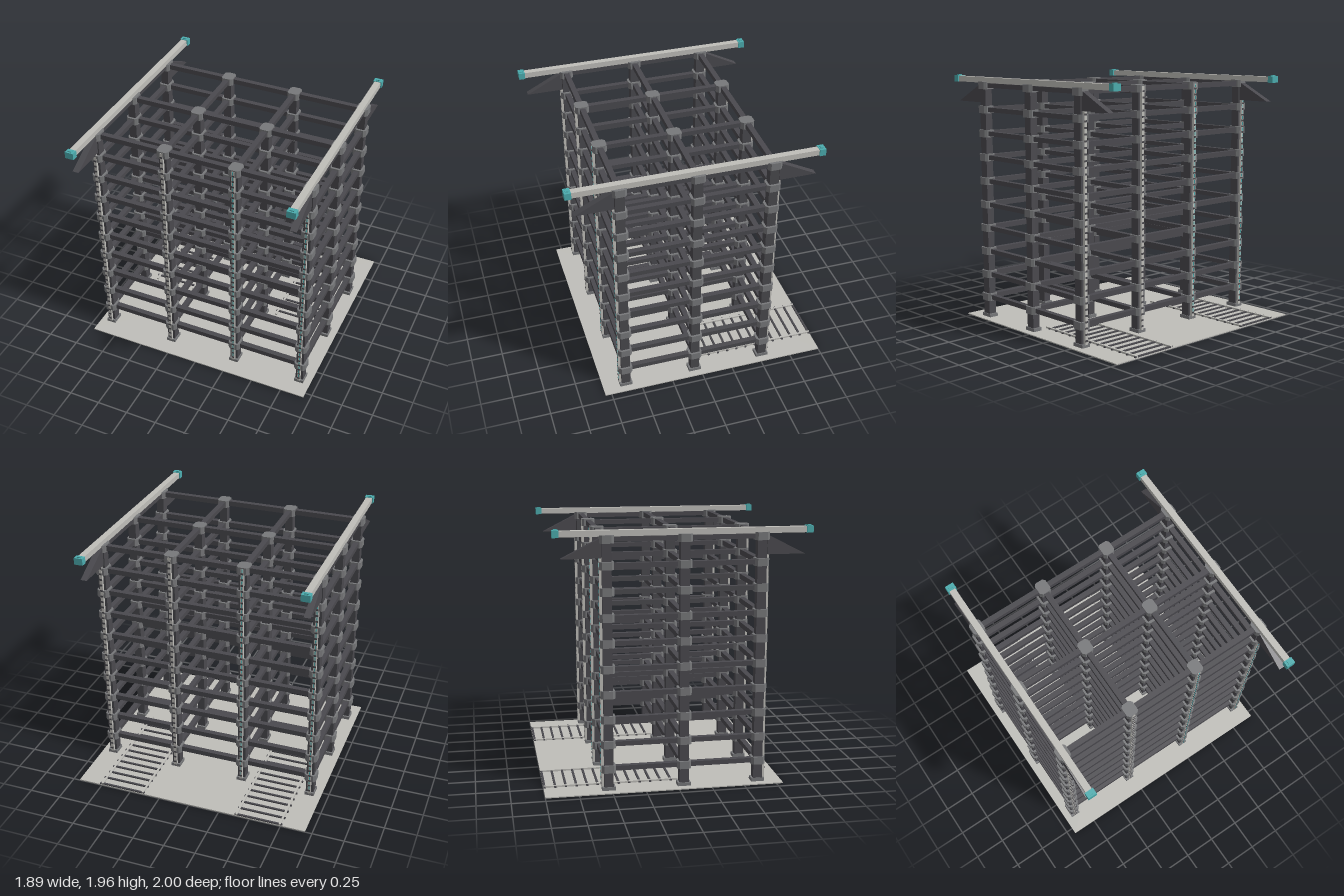
import * as THREE from 'three';

const mat = (name, color) => {
  const m = new THREE.MeshStandardMaterial({ color });
  m.name = name;
  return m;
};

export function createModel() {
  const model = new THREE.Group();
  model.name = 'storageTower';
  const darkSteel = mat('darkSteel', 0x4a494e);
  const jointGrey = mat('jointGrey', 0x77787a);
  const paleGrey = mat('paleGrey', 0xbfbeb9);
  const teal = mat('teal', 0x4bacae);

  const columnX = [-0.853, -0.284, 0.284, 0.853];
  const columnZ = [-0.523, 0.047, 0.617];
  const levels = Array.from({ length: 10 }, (_, i) => 0.174 + i * 0.1896);

  const add = (parent, name, geometry, material, x, y, z) => {
    const mesh = new THREE.Mesh(geometry, material);
    mesh.name = name;
    mesh.position.set(x, y, z);
    parent.add(mesh);
    return mesh;
  };
  const box = (parent, name, material, w, h, d, x, y, z) =>
    add(parent, name, new THREE.BoxGeometry(w, h, d), material, x, y, z);
  const group = (name) => {
    const g = new THREE.Group();
    g.name = name;
    model.add(g);
    return g;
  };

  // Floor slab
  box(model, 'floorSlab', paleGrey, 1.89, 0.008, 1.8, 0, 0.004, -0.1);

  // Joint collar: square block with chamfered corners
  const a = 0.047, b = 0.053, c = 0.018;
  const collarShape = new THREE.Shape([
    [-a, -b + c], [-a + c, -b], [a - c, -b], [a, -b + c],
    [a, b - c], [a - c, b], [-a + c, b], [-a, b - c],
  ].map(([x, y]) => new THREE.Vector2(x, y)));
  const collar = new THREE.ExtrudeGeometry(collarShape, { depth: 0.058, bevelEnabled: false });
  collar.rotateX(-Math.PI / 2).translate(0, -0.029, 0);

  // Columns with feet and a collar on every level
  const columns = group('columns');
  for (const x of columnX) {
    for (const z of columnZ) {
      box(columns, 'column', darkSteel, 0.062, 1.9, 0.07, x, 0.958, z);
      box(columns, 'columnFoot', jointGrey, 0.075, 0.026, 0.1, x, 0.021, z);
      for (const y of levels) add(columns, 'jointCollar', collar, jointGrey, x, y, z);
    }
  }

  // Cross beams along both axes
  const beams = group('beams');
  for (const y of levels) {
    for (const z of columnZ) box(beams, 'crossBeam', darkSteel, 1.7, 0.04, 0.042, 0, y, z);
    for (const x of columnX) box(beams, 'depthBeam', darkSteel, 0.042, 0.036, 1.14, x, y, 0.047);
  }

  // Lift tracks on the outer faces, with link plates between the collars
  const tracks = group('liftTracks');
  for (const x of columnX) {
    const outer = Math.abs(x) > 0.5;
    const top = outer ? 1.75 : 1.9;
    for (const s of [-1, 1]) {
      const face = 0.047 + s * 0.605;
      box(tracks, 'liftTrack', paleGrey, 0.024, top - 0.03, 0.02, x, (top + 0.03) / 2, face + s * 0.01);
      const striped = x * s > 0;
      for (let y = 0.06; y < top - 0.03; y += 0.0474) {
        box(tracks, 'trackLink', darkSteel, 0.02, 0.014, 0.004, x, y, face + s * 0.021);
        if (striped) box(tracks, 'trackMarker', teal, 0.007, 0.026, 0.003, x, y + 0.0237, face + s * 0.021);
      }
    }
  }

  // Triangular brackets under the roof rails
  const bracketShape = new THREE.Shape();
  bracketShape.moveTo(0, 1.745);
  bracketShape.lineTo(0.285, 1.745);
  bracketShape.lineTo(0, 1.89);
  const bracket = new THREE.ExtrudeGeometry(bracketShape, { depth: 0.05, bevelEnabled: false });
  bracket.translate(0, 0, -0.025);
  const brackets = group('brackets');
  for (const x of [columnX[0], columnX[3]]) {
    for (const s of [-1, 1]) {
      add(brackets, 'bracket', bracket, darkSteel, x, 0, 0.047 + s * 0.61).rotation.y = -s * Math.PI / 2;
    }
  }

  // Roof rails with end caps
  const rails = group('roofRails');
  for (const x of [columnX[0], columnX[3]]) {
    box(rails, 'roofRail', paleGrey, 0.05, 0.044, 1.84, x, 1.922, 0.047);
    for (const z of [-0.884, 0.976]) {
      box(rails, 'railCap', teal, 0.068, 0.052, 0.048, x, 1.923, z);
      box(rails, 'capStud', teal, 0.03, 0.008, 0.024, x, 1.952, z);
    }
  }

  // Two floor ladders leading out at the back
  const ladders = group('floorLadders');
  for (const s of [-1, 1]) {
    for (const x of [0.395, 0.745]) {
      box(ladders, 'ladderRail', paleGrey, 0.016, 0.014, 1.02, s * x, 0.016, -0.49);
    }
    for (let i = 0; i < 13; i++) {
      box(ladders, 'ladderRung', darkSteel, 0.385, 0.01, 0.016, s * 0.572, 0.015, -0.992 + i * 0.08);
    }
  }

  return model;
}
